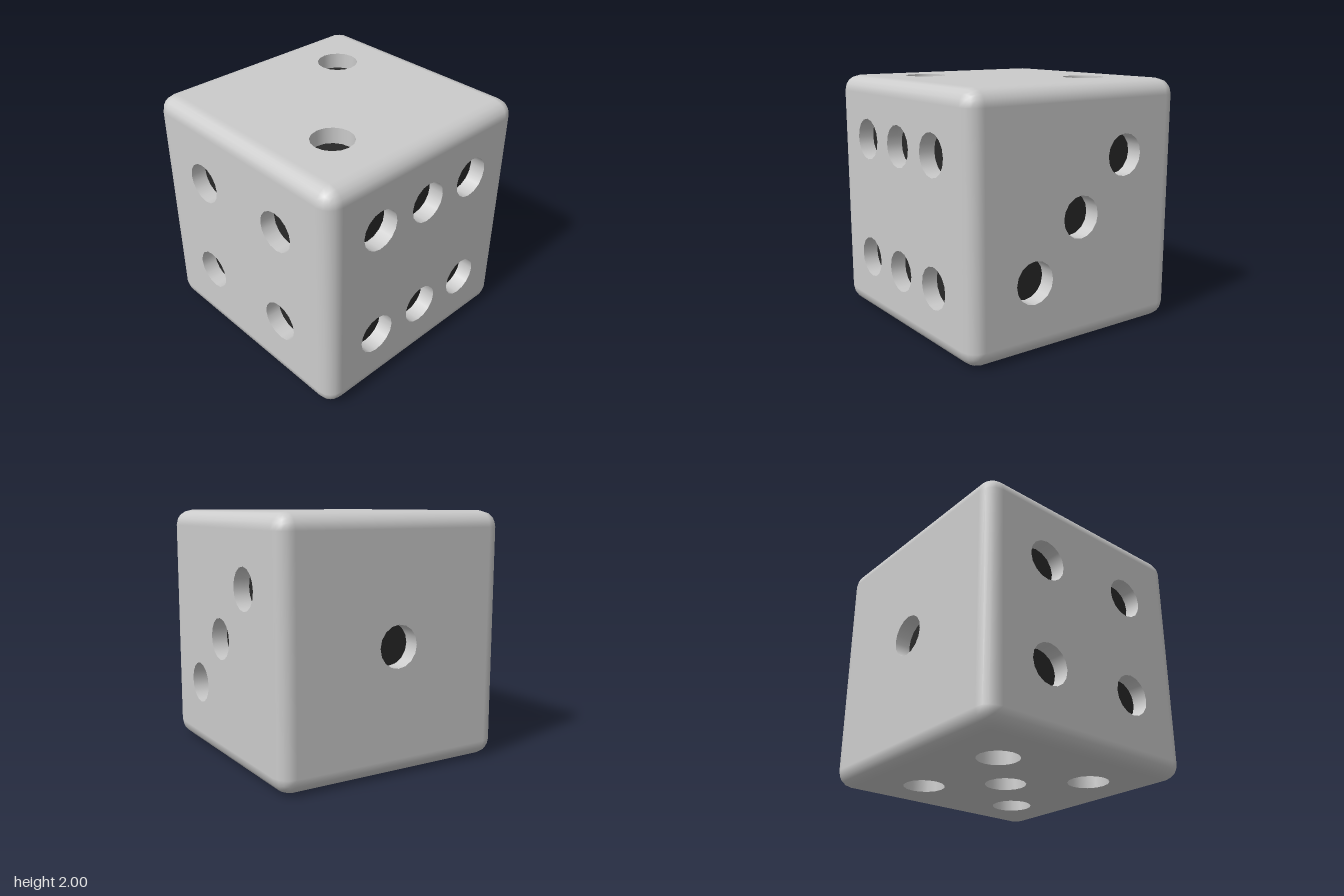
import * as THREE from 'three';
import { RoundedBoxGeometry } from 'three/addons/geometries/RoundedBoxGeometry.js';

const EDGE = 0.13;        // rounding of the edges
const FLAT = 1 - EDGE;    // half width of a flat face
const PIP_R = 0.167;
const PIP_DEPTH = 0.13;
const SIDES = 16;

const grey = new THREE.MeshStandardMaterial({ color: 0xcccccc });
const black = new THREE.MeshStandardMaterial({ color: 0x282828 });

function mesh(name, geometry, material) {
  const m = new THREE.Mesh(geometry, material);
  m.name = name;
  return m;
}

// Rounded box with its six flat squares removed: only edges and corners stay
function roundedEdges() {
  const box = new RoundedBoxGeometry(2, 2, 2, 2, EDGE);
  const source = box.index ? box.toNonIndexed() : box;
  const p = source.attributes.position, n = source.attributes.normal;
  const positions = [], normals = [];
  const isFlat = i => Math.max(Math.abs(n.getX(i)), Math.abs(n.getY(i)), Math.abs(n.getZ(i))) > 0.999;
  for (let t = 0; t < p.count; t += 3) {
    const corners = [t, t + 1, t + 2];
    // a flat face has all three normals along one axis
    if (corners.every(isFlat)) continue;
    for (const i of corners) {
      positions.push(p.getX(i), p.getY(i), p.getZ(i));
      normals.push(n.getX(i), n.getY(i), n.getZ(i));
    }
  }
  const g = new THREE.BufferGeometry();
  g.setAttribute('position', new THREE.Float32BufferAttribute(positions, 3));
  g.setAttribute('normal', new THREE.Float32BufferAttribute(normals, 3));
  return g;
}

// Pip recess: inward-facing wall and a dark floor, opening towards +z
const wallGeometry = new THREE.LatheGeometry(
  [new THREE.Vector2(PIP_R, 0), new THREE.Vector2(PIP_R, -PIP_DEPTH)], SIDES).rotateX(Math.PI / 2);
const floorGeometry = new THREE.CircleGeometry(PIP_R, SIDES).translate(0, 0, -PIP_DEPTH);

// One face lying in the plane z = 1, pierced at each pip
function makeFace(name, pips) {
  const face = new THREE.Group();
  face.name = name;
  const shape = new THREE.Shape();
  shape.moveTo(-FLAT, -FLAT).lineTo(FLAT, -FLAT).lineTo(FLAT, FLAT).lineTo(-FLAT, FLAT).closePath();
  for (const [x, y] of pips) {
    shape.holes.push(new THREE.Path().absarc(x, y, PIP_R, 0, Math.PI * 2, true));
    const pip = new THREE.Group();
    pip.name = 'pip';
    pip.position.set(x, y, 1);
    pip.add(mesh('pipWall', wallGeometry, grey), mesh('pipFloor', floorGeometry, black));
    face.add(pip);
  }
  const plate = mesh('facePlate', new THREE.ShapeGeometry(shape, SIDES / 2), grey);
  plate.position.z = 1;
  face.add(plate);
  return face;
}

const diagonal = a => [[-a, -a], [a, a]];
const square = a => [...diagonal(a), [-a, a], [a, -a]];

export function createModel() {
  const die = new THREE.Group();
  die.name = 'die';
  const body = new THREE.Group();
  body.name = 'body';
  body.position.y = 1;
  die.add(body);

  body.add(mesh('roundedEdges', roundedEdges(), grey));

  // name, pip centres, turn about x, turn about y
  const q = Math.PI / 2;
  const faces = [
    ['frontFaceSix', [...square(0.5), [0, 0.5], [0, -0.5]], 0, 0],
    ['backFaceOne', [[0, 0]], 0, Math.PI],
    ['leftFaceThree', [...diagonal(0.433), [0, 0]], 0, q],
    ['rightFaceFour', square(0.433), 0, -q],
    ['topFaceTwo', diagonal(0.465), -q, 0],
    ['bottomFaceFive', [...square(0.465), [0, 0]], q, 0],
  ];
  for (const [name, pips, rx, ry] of faces) {
    const face = makeFace(name, pips);
    face.rotation.set(rx, ry, 0);
    body.add(face);
  }
  return die;
}
